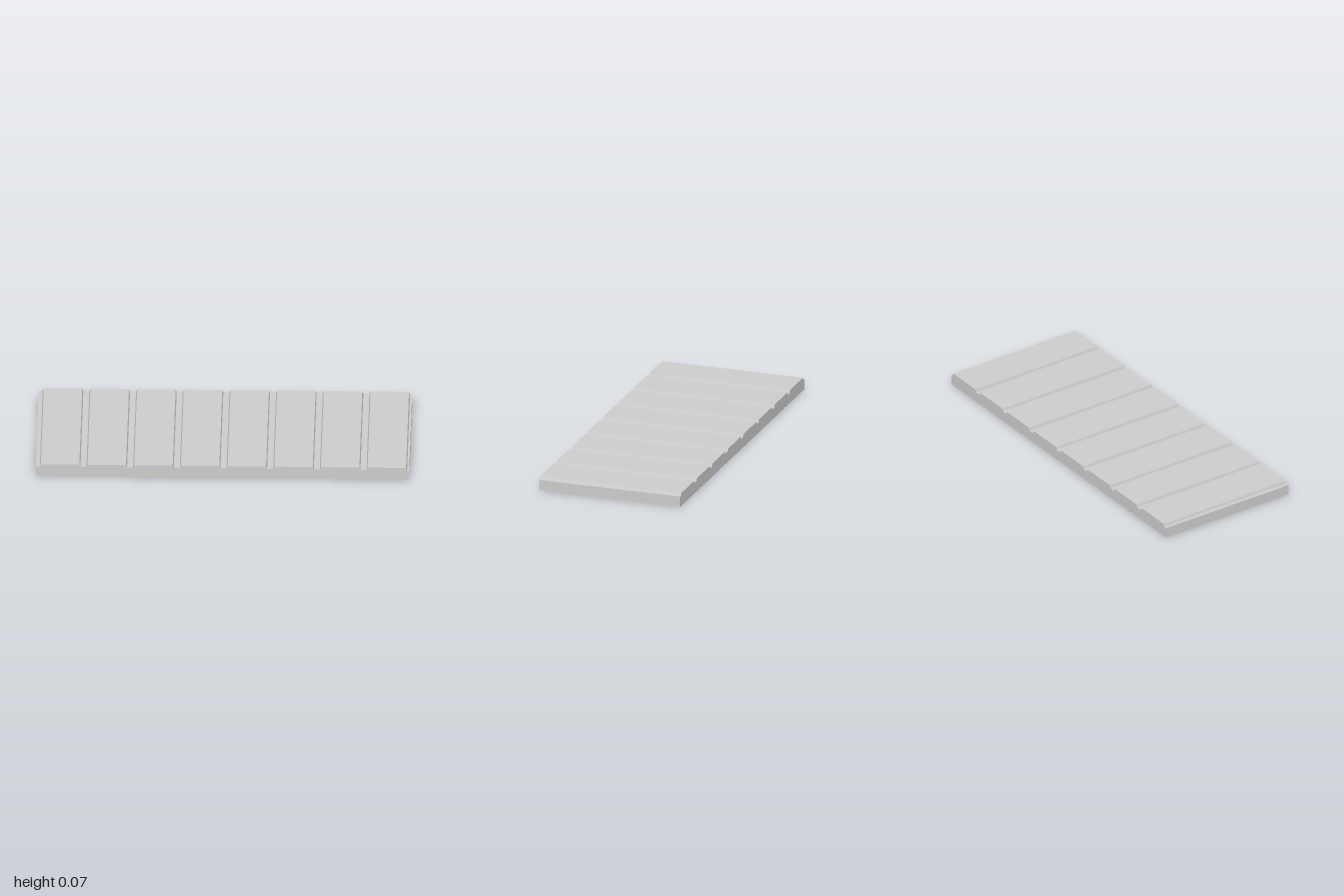
import * as THREE from 'three';

const TOP = 0.073, FLOOR = 0.058, DEPTH = 0.8;

export function createModel() {
  const group = new THREE.Group();
  group.name = 'groovedPanel';

  // Underside, left to right, with five small relief notches
  const pts = [[-1, 0]];
  for (let i = -2; i <= 2; i++) {
    const x = i * 0.34;
    pts.push([x - 0.014, 0], [x - 0.007, 0.01], [x + 0.007, 0.01], [x + 0.014, 0]);
  }
  // Right end, cut by the start of a groove
  pts.push([1, 0], [1, FLOOR], [0.989, FLOOR], [0.983, TOP]);

  // Top face, right to left, with seven sloped-wall grooves
  for (let i = 3; i >= -3; i--) {
    const x = 0.005 + i * 0.25;
    pts.push([x + 0.022, TOP], [x + 0.016, FLOOR], [x - 0.016, FLOOR], [x - 0.022, TOP]);
  }
  // Left end, finishing in a half groove
  pts.push([-0.973, TOP], [-0.979, FLOOR], [-1, FLOOR]);

  const shape = new THREE.Shape(pts.map(([x, y]) => new THREE.Vector2(x, y)));
  const geometry = new THREE.ExtrudeGeometry(shape, { depth: DEPTH, bevelEnabled: false });
  geometry.translate(0, 0, -DEPTH / 2);

  const panel = new THREE.Mesh(
    geometry,
    new THREE.MeshStandardMaterial({ color: 0xcccccc, flatShading: true })
  );
  panel.name = 'panel';
  group.add(panel);
  return group;
}
